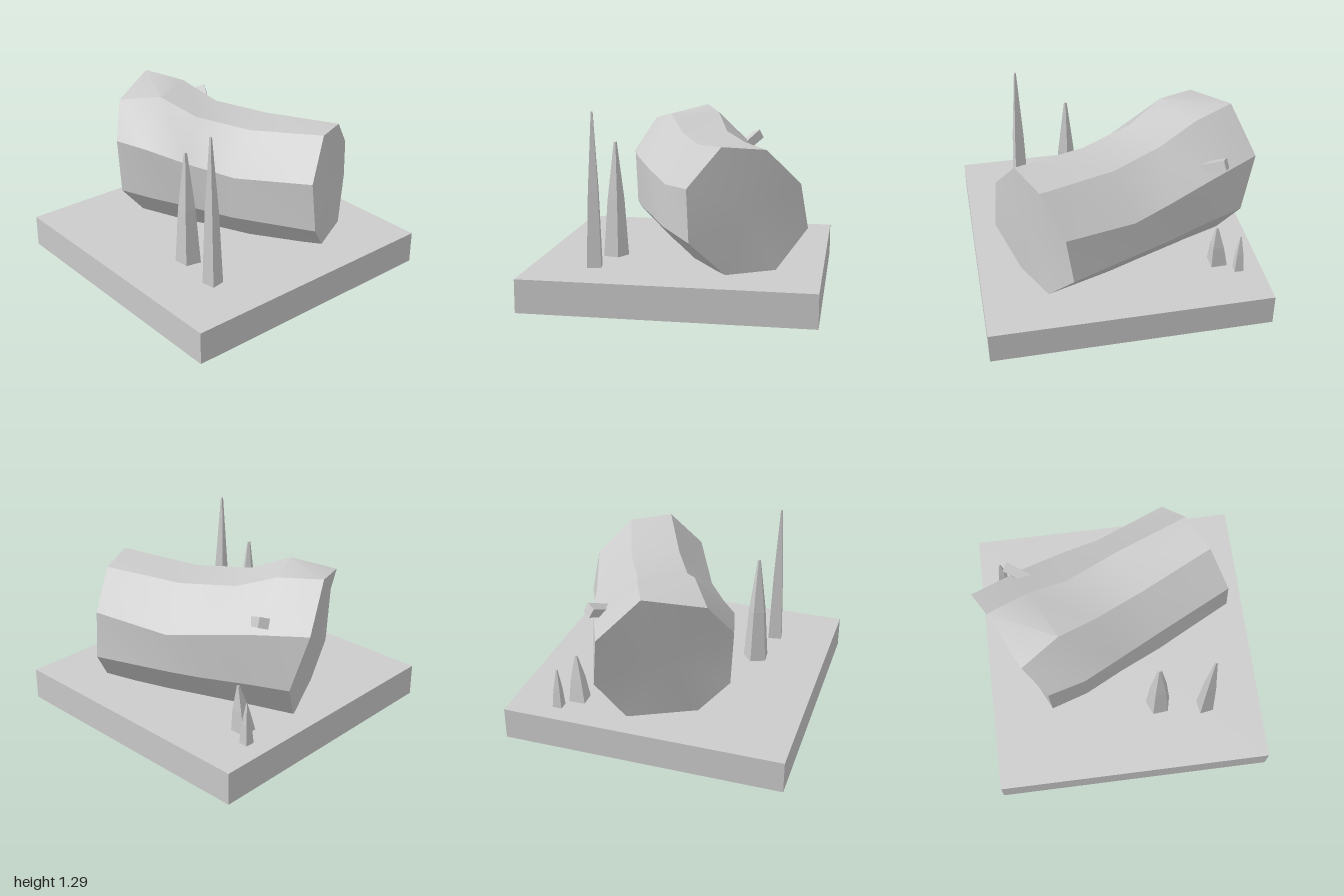
import * as THREE from 'three';
import { toCreasedNormals } from 'three/addons/utils/BufferGeometryUtils.js';

const grey = new THREE.MeshStandardMaterial({ color: 0xcccccc });
const flat = new THREE.MeshStandardMaterial({ color: 0xcccccc, flatShading: true });
const V = (x, y, z) => new THREE.Vector3(x, y, z);

// Eight-sided cross-sections from the front end to the back end, clockwise from top
const sections = [
  [[.33, 1.09, .70], [.61, 1.06, .57], [.83, .82, .44], [.88, .51, .40], [.68, .25, .55], [.36, .24, .70], [.14, .48, .845], [.12, .83, .82]],
  [[.10, 1.03, .20], [.41, 1.03, .04], [.65, .755, -.06], [.65, .48, -.08], [.46, .20, .05], [.10, .20, .24], [-.14, .46, .30], [-.12, .76, .30]],
  [[-.08, 1.06, -.17], [.23, 1.06, -.32], [.56, .81, -.32], [.57, .49, -.31], [.36, .20, -.20], [-.03, .20, -.05], [-.28, .47, 0], [-.30, .81, -.02]],
  [[-.21, 1.17, -.42], [.13, 1.17, -.59], [.44, .87, -.62], [.45, .505, -.60], [.25, .20, -.48], [-.15, .20, -.30], [-.42, .48, -.27], [-.45, .87, -.28]],
  [[-.38, 1.11, -.69], [0, 1.20, -.88], [.27, .92, -1], [.34, .52, -.90], [.14, .20, -.78], [-.26, .20, -.58], [-.50, .47, -.53], [-.52, .87, -.54]],
].map(ring => ring.map(p => V(...p)));

function logGeometry() {
  const pos = [];
  const tri = (...pts) => pts.forEach(p => pos.push(p.x, p.y, p.z));
  const centre = ring => ring.reduce((s, p) => s.add(p), V(0, 0, 0)).divideScalar(ring.length);
  const last = sections.length - 1;
  const front = centre(sections[0]), back = centre(sections[last]);
  for (let j = 0; j < 8; j++) {
    const k = (j + 1) % 8;
    for (let i = 0; i < last; i++) {
      const a = sections[i], b = sections[i + 1];
      tri(a[j], a[k], b[k]);
      tri(a[j], b[k], b[j]);
    }
    tri(front, sections[0][k], sections[0][j]);
    tri(back, sections[last][j], sections[last][k]);
  }
  const geo = new THREE.BufferGeometry();
  geo.setAttribute('position', new THREE.Float32BufferAttribute(pos, 3));
  return toCreasedNormals(geo, 0.55);
}

// Pointed blade of grass: bulging taper whose top leans towards the tip
function spikeGeometry(base, tip, radius, sides, turn) {
  const height = tip.y - base.y;
  const geo = new THREE.CylinderGeometry(radius * .12, radius, height, sides, 2, false, turn);
  const p = geo.attributes.position;
  for (let i = 0; i < p.count; i++) {
    const t = p.getY(i) / height + .5;
    const swell = Math.abs(t - .5) < .1 ? 1.2 : 1;
    p.setXYZ(i, p.getX(i) * swell + base.x + (tip.x - base.x) * t,
      base.y + height * t, p.getZ(i) * swell + base.z + (tip.z - base.z) * t);
  }
  return geo;
}

export function createModel() {
  const model = new THREE.Group();
  const add = (name, geo, material) => {
    const mesh = new THREE.Mesh(geo, material);
    mesh.name = name;
    model.add(mesh);
    return mesh;
  };

  // Ground slab
  add('groundSlab', new THREE.BoxGeometry(1.98, .23, 1.975), flat).position.set(0, .115, .0125);

  // Fallen log
  add('log', logGeometry(), grey);

  // Broken branch stub on the side of the log
  const from = V(.33, .91, -.57), to = V(.42, .985, -.74);
  const stub = add('branchStub', new THREE.CylinderGeometry(.05, .045, from.distanceTo(to), 4), flat);
  stub.position.copy(from).lerp(to, .5);
  stub.quaternion.setFromUnitVectors(V(0, 1, 0), to.clone().sub(from).normalize());

  // Grass blades: base, tip, radius, sides, turn
  [
    [V(-.555, .22, .59), V(-.56, 1.29, .58), .07, 4, .95],
    [V(-.49, .22, .25), V(-.49, 1.04, .23), .095, 5, .4],
    [V(.545, .22, -.685), V(.57, .56, -.66), .082, 4, .8],
    [V(.65, .22, -.81), V(.65, .52, -.81), .048, 4, .75],
  ].forEach((s, i) => add('grassBlade' + (i + 1), spikeGeometry(...s), flat));

  return model;
}
